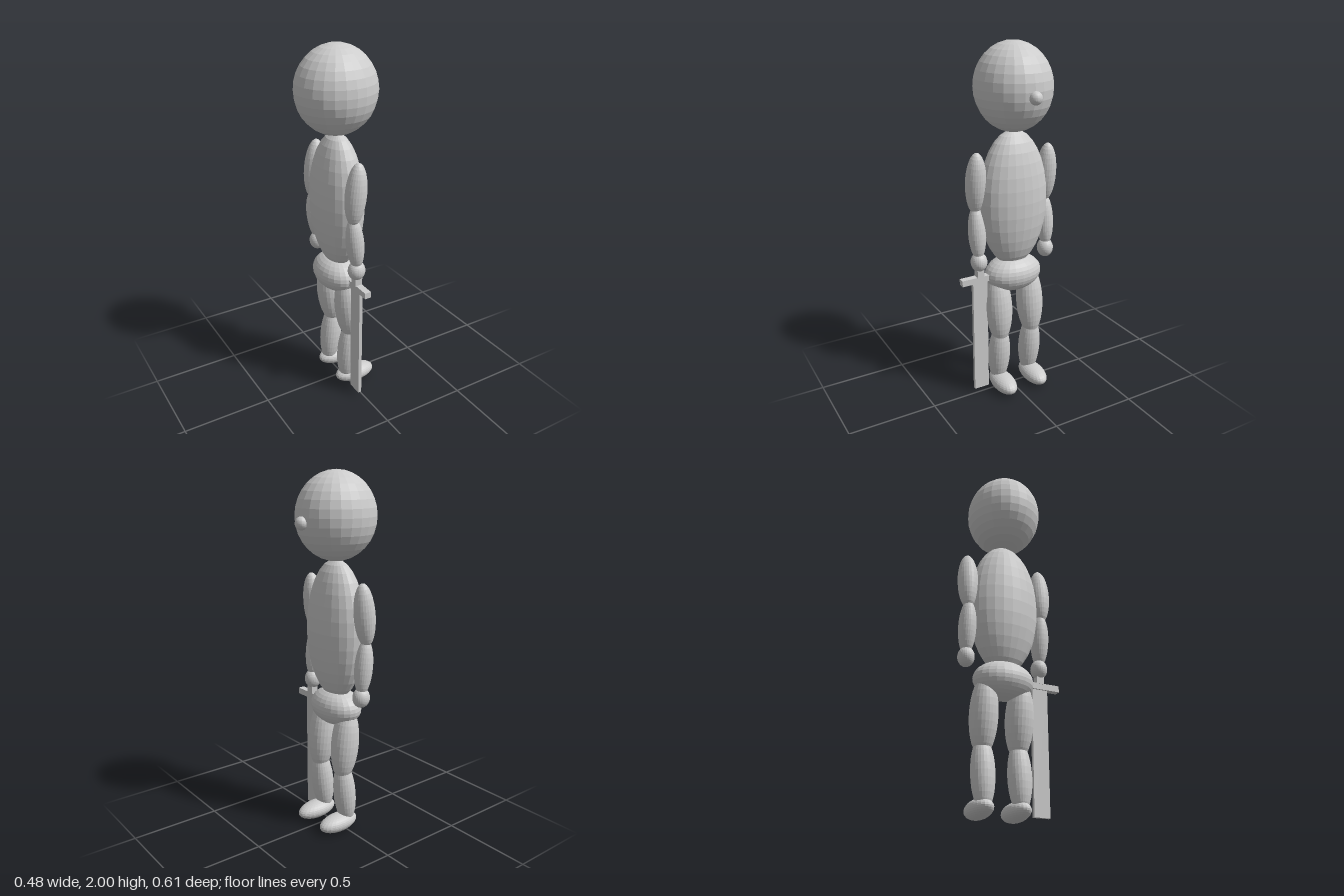
import * as THREE from 'three';

const MID_X = -0.018; // body axis
const MID_Z = -0.025; // the body is symmetric about this z plane; it faces +x

export function createModel() {
  const group = new THREE.Group();
  const grey = new THREE.MeshStandardMaterial({ color: 0xcccccc, flatShading: true });
  grey.name = 'light grey';
  const ball = new THREE.SphereGeometry(1, 24, 16);

  // Ellipsoid with radii r at p, leaning about z by tilt
  function ellipsoid(name, p, r, tilt = 0) {
    const mesh = new THREE.Mesh(ball, grey);
    mesh.name = name;
    mesh.position.set(...p);
    mesh.scale.set(...r);
    mesh.rotation.z = tilt;
    group.add(mesh);
  }

  // Head, nose and trunk
  ellipsoid('head', [MID_X, 1.765, MID_Z], [0.222, 0.235, 0.208]);
  ellipsoid('nose', [0.205, 1.738, MID_Z], [0.034, 0.035, 0.034]);
  ellipsoid('torso', [MID_X, 1.155, MID_Z], [0.13, 0.387, 0.201]);
  ellipsoid('hips', [MID_X - 0.002, 0.72, MID_Z], [0.121, 0.105, 0.17]);

  // Arms and legs, mirrored across the body
  for (const [side, s] of [['right', 1], ['left', -1]]) {
    const arm = MID_Z + s * 0.22;
    const leg = MID_Z + s * 0.102;
    ellipsoid(side + 'UpperArm', [-0.032, 1.27, arm], [0.058, 0.172, 0.057], -0.1);
    ellipsoid(side + 'Forearm', [-0.033, 0.99, arm - s * 0.003], [0.05, 0.155, 0.049], 0.1);
    ellipsoid(side + 'Hand', [-0.02, 0.823, arm - s * 0.005], [0.049, 0.055, 0.046]);
    ellipsoid(side + 'Thigh', [-0.003, 0.525, leg], [0.078, 0.215, 0.077], 0.1);
    ellipsoid(side + 'Shin', [-0.002, 0.225, leg], [0.063, 0.195, 0.064], -0.1);
    ellipsoid(side + 'Foot', [0.043, 0.053, leg], [0.124, 0.05, 0.064], -0.03);
  }

  // Sword hanging point down from the right hand
  const sword = new THREE.Group();
  sword.name = 'sword';
  sword.position.set(-0.017, 0, 0.19);
  const swordParts = [
    ['blade', 0.02, 0.024, 0.71, 0.09],
    ['crossguard', 0.037, 0.704, 0.739, 0.226],
    ['grip', 0.042, 0.735, 0.86, 0.042],
  ];
  for (const [name, width, bottom, top, depth] of swordParts) {
    const mesh = new THREE.Mesh(new THREE.BoxGeometry(width, top - bottom, depth), grey);
    mesh.name = name;
    mesh.position.y = (top + bottom) / 2;
    sword.add(mesh);
  }
  group.add(sword);

  return group;
}
